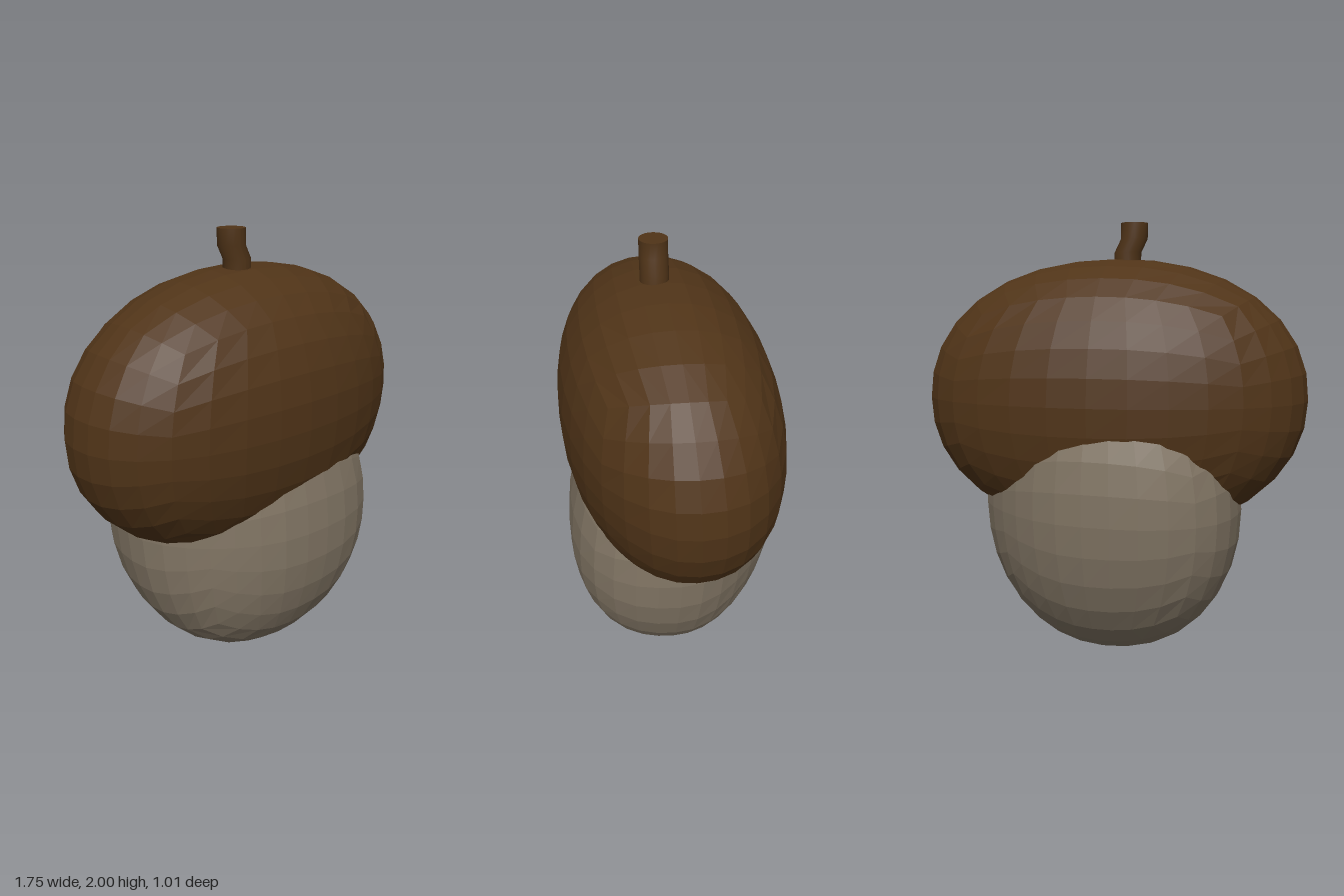
import * as THREE from 'three';

// Slightly boxy ball made from an evenly divided cube, stretched to radii r.
// power: 2 is round, more is boxier; bulge: swells the +x+z and -x-z corners,
// flattening the other two; leanX, leanY: shift of z per unit of x and of y.
function makeBall(name, color, centre, r, { power, bulge, leanX, leanY }) {
  const geo = new THREE.BoxGeometry(2, 2, 2, 8, 8, 8);
  const p = geo.attributes.position;
  const v = new THREE.Vector3();
  const even = (t) => Math.tan((t * Math.PI) / 4);
  for (let i = 0; i < p.count; i++) {
    v.fromBufferAttribute(p, i);
    v.set(even(v.x), even(v.y), even(v.z)).normalize();
    const norm = Math.abs(v.x) ** power + Math.abs(v.y) ** power + Math.abs(v.z) ** power;
    const corner = v.x * v.z;
    v.multiplyScalar((1 + bulge * corner * Math.abs(corner)) / norm ** (1 / power));
    const x = v.x * r[0], y = v.y * r[1];
    p.setXYZ(i, x, y, v.z * r[2] + leanX * x + leanY * y);
  }
  geo.computeVertexNormals();
  const mesh = new THREE.Mesh(geo, new THREE.MeshStandardMaterial({ color, flatShading: true }));
  mesh.name = name;
  mesh.position.set(...centre);
  return mesh;
}

// Short round stem whose upper half steps sideways
function makeStem(color) {
  const rings = [[-0.045, 1.76], [-0.045, 1.87], [-0.075, 1.93], [-0.075, 2.0]];
  const geo = new THREE.CylinderGeometry(0.061, 0.061, 3, 24, 3);
  const p = geo.attributes.position;
  for (let i = 0; i < p.count; i++) {
    const [x, y] = rings[Math.round(p.getY(i) + 1.5)];
    p.setX(i, p.getX(i) + x);
    p.setY(i, y);
  }
  geo.computeVertexNormals();
  const mesh = new THREE.Mesh(geo, new THREE.MeshStandardMaterial({ color }));
  mesh.name = 'stem';
  mesh.position.z = 0.06;
  return mesh;
}

export function createModel() {
  const group = new THREE.Group();
  group.name = 'acorn';
  const brown = 0x503418;
  group.add(
    makeBall('nut', 0x807463, [0.015, 0.715, -0.005], [0.615, 0.71, 0.497],
      { power: 2.13, bulge: 0.22, leanX: 0.02, leanY: -0.05 }),
    makeBall('cap', brown, [0, 1.21, 0.015], [0.875, 0.63, 0.485],
      { power: 2.15, bulge: -0.05, leanX: -0.06, leanY: 0.03 }),
    makeStem(brown),
  );
  return group;
}
